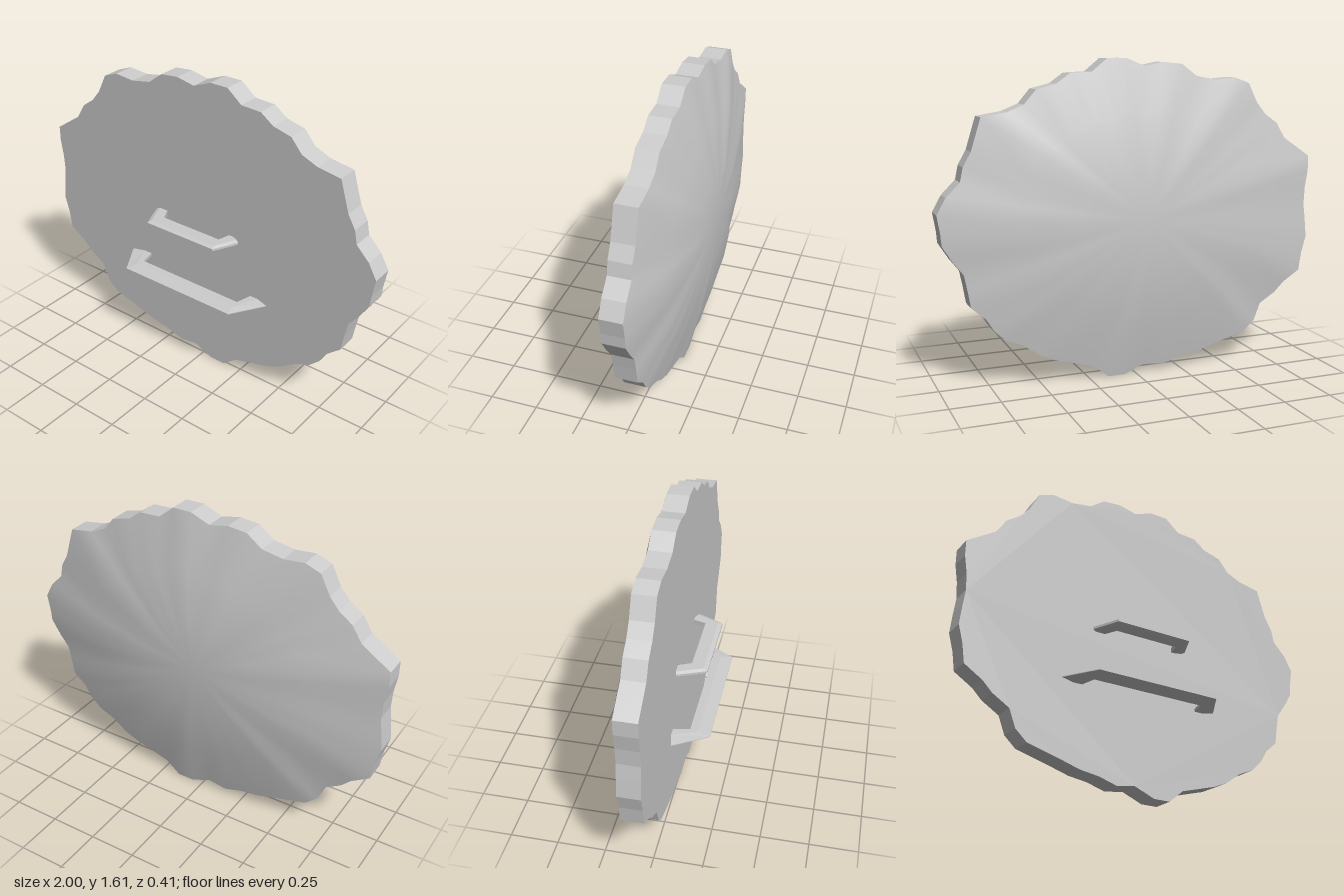
import * as THREE from 'three';

const grey = new THREE.MeshStandardMaterial({ color: 0xcccccc });
grey.name = 'plain grey';

const FRONT = 0.015, RIM = -0.098;

// Uneven rim, clockwise as seen from the front
const rim = [
  [-1, 1.09], [-0.85, 1.19], [-0.8, 1.27], [-0.73, 1.32], [-0.68, 1.38], [-0.63, 1.48], [-0.55, 1.51],
  [-0.44, 1.5], [-0.33, 1.52], [-0.25, 1.58], [-0.15, 1.59], [-0.05, 1.57], [0.05, 1.61], [0.15, 1.61],
  [0.23, 1.545], [0.34, 1.54], [0.41, 1.49], [0.51, 1.465], [0.57, 1.395], [0.655, 1.36], [0.78, 1.34],
  [0.83, 1.18], [0.87, 1.11], [0.885, 1.04], [0.955, 0.97], [1, 0.89], [0.985, 0.8], [0.98, 0.74],
  [0.93, 0.66], [0.88, 0.595], [0.865, 0.52], [0.85, 0.43], [0.78, 0.37], [0.74, 0.305], [0.68, 0.25],
  [0.595, 0.215], [0.51, 0.155], [0.43, 0.12], [0.23, 0.065], [0.15, 0], [0.06, 0], [-0.05, 0.045],
  [-0.15, 0.03], [-0.25, 0.06], [-0.35, 0.075], [-0.45, 0.105], [-0.63, 0.155], [-0.69, 0.21],
  [-0.725, 0.3], [-0.815, 0.355], [-0.865, 0.405], [-0.96, 0.465], [-0.975, 0.56], [-1, 0.65],
  [-0.99, 0.75], [-0.98, 0.83], [-0.985, 0.92], [-1, 1.01],
];

function addMesh(group, name, geometry) {
  const mesh = new THREE.Mesh(geometry, grey);
  mesh.name = name;
  group.add(mesh);
}

// Shallow smooth dome: the rim outline shrinks in rings towards the apex
function domeGeometry() {
  const centre = [-0.025, 0.82], rings = [[1, RIM], [2 / 3, -0.163], [1 / 3, -0.203]];
  const n = rim.length, pos = [], index = [];
  for (const [s, z] of rings)
    for (const [x, y] of rim)
      pos.push(centre[0] + (x - centre[0]) * s, centre[1] + (y - centre[1]) * s, z);
  pos.push(...centre, -0.21);
  const apex = rings.length * n;
  for (let r = 0; r < rings.length; r++)
    for (let i = 0; i < n; i++) {
      const a = r * n + i, b = r * n + (i + 1) % n;
      if (r === rings.length - 1) index.push(a, b, apex);
      else index.push(a, b, b + n, a, b + n, a + n);
    }
  const g = new THREE.BufferGeometry();
  g.setAttribute('position', new THREE.Float32BufferAttribute(pos, 3));
  g.setIndex(index);
  g.computeVertexNormals();
  return g;
}

// Bent strap: a flat bar with a bevelled outer edge, swept through [x, z] stations
function handleGeometry(outer, inner, y, half, edge, bevel) {
  const pos = [], index = [], k = 6;
  outer.forEach(([ox, oz], i) => {
    const [ix, iz] = inner[i];
    const sx = ox + (ix - ox) * bevel, sz = oz + (iz - oz) * bevel;
    pos.push(ix, y + half, iz, sx, y + half, sz, ox, y + edge, oz,
      ox, y - edge, oz, sx, y - half, sz, ix, y - half, iz);
  });
  for (let i = 0; i < outer.length - 1; i++)
    for (let j = 0; j < k; j++) {
      const a = i * k + j, b = i * k + (j + 1) % k;
      index.push(a, b, b + k, a, b + k, a + k);
    }
  const last = (outer.length - 1) * k;
  for (let j = 1; j < k - 1; j++) {
    index.push(0, j + 1, j);
    index.push(last, last + j, last + j + 1);
  }
  const g = new THREE.BufferGeometry();
  g.setAttribute('position', new THREE.Float32BufferAttribute(pos, 3));
  g.setIndex(index);
  const flat = g.toNonIndexed();
  flat.computeVertexNormals();
  return flat;
}

export function createModel() {
  const model = new THREE.Group();
  model.name = 'shield';

  // Flat plate with straight sides
  const shape = new THREE.Shape(rim.map(([x, y]) => new THREE.Vector2(x, y)));
  const plate = new THREE.ExtrudeGeometry(shape, { depth: FRONT - RIM, bevelEnabled: false });
  addMesh(model, 'plate', plate.translate(0, 0, RIM));

  addMesh(model, 'dome', domeGeometry());

  // Two grips on the flat side
  addMesh(model, 'upperGrip', handleGeometry(
    [[-0.3, 0.02], [-0.24, 0.165], [0.18, 0.165], [0.243, 0.035]],
    [[-0.235, 0.005], [-0.2, 0.08], [0.155, 0.08], [0.175, 0.005]], 0.813, 0.013, 0.006, 0.25));
  addMesh(model, 'lowerGrip', handleGeometry(
    [[-0.47, 0.03], [-0.365, 0.205], [0.31, 0.205], [0.42, 0.03]],
    [[-0.355, 0.005], [-0.335, 0.1], [0.29, 0.1], [0.315, 0.005]], 0.508, 0.008, 0.002, 0.6));

  return model;
}
